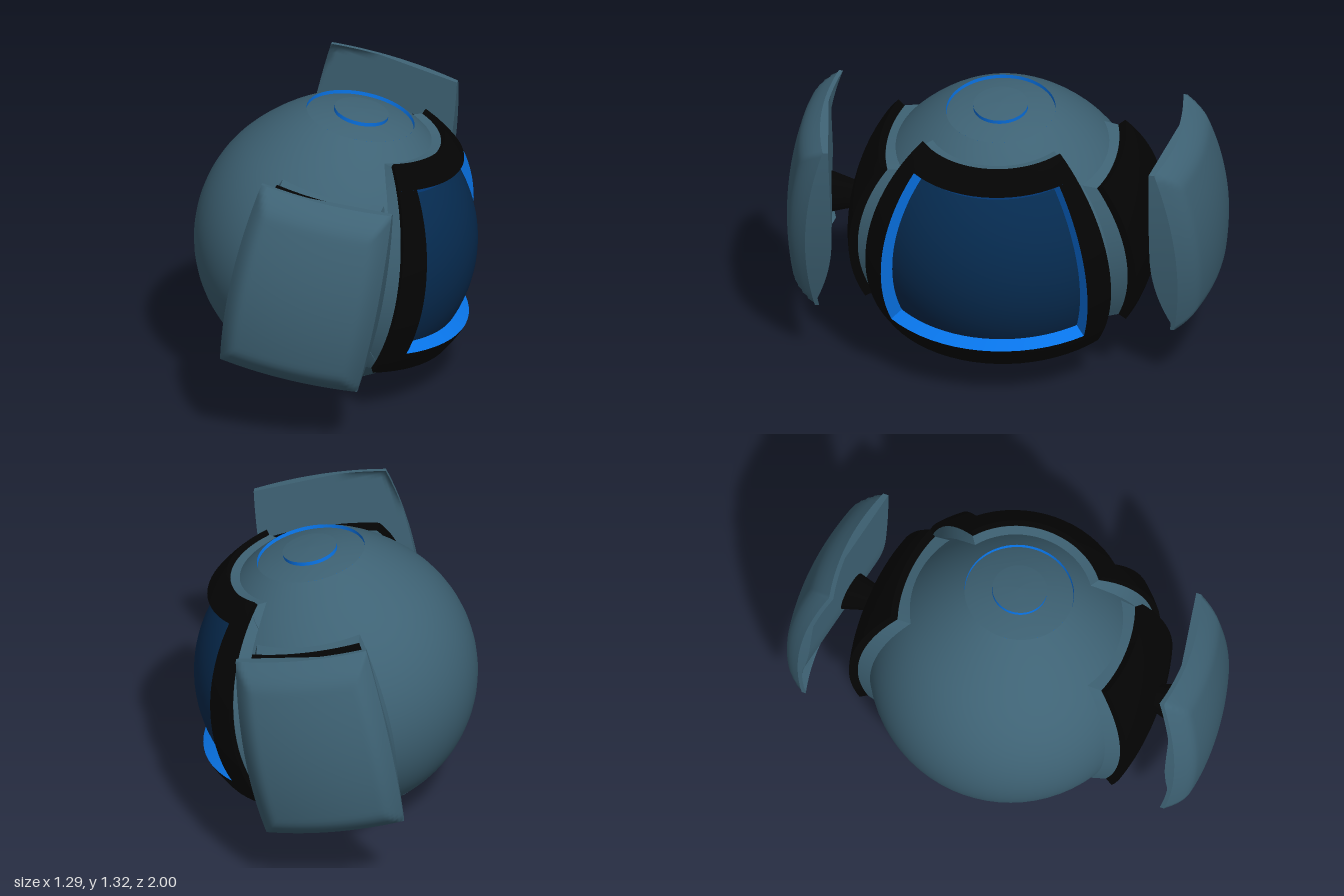
import * as THREE from 'three';

const mat = (name, color, side = THREE.FrontSide) => {
  const m = new THREE.MeshStandardMaterial({ color, side });
  m.name = name;
  return m;
};
const D = Math.PI / 180;

export function createModel() {
  const shell = mat('slate blue shell', 0x3e6274, THREE.DoubleSide);
  const black = mat('black trim', 0x040404);
  const blue = mat('bright blue', 0x0874e8, THREE.DoubleSide);
  const navy = mat('navy screen', 0x062b50);

  const root = new THREE.Group();
  root.name = 'sphereRobot';
  const tilted = new THREE.Group();
  tilted.name = 'tiltedBody';
  tilted.position.y = 0.66;
  tilted.rotation.z = -10.7 * D;
  root.add(tilted);

  const add = (name, geo, material, parent = tilted) => {
    const m = new THREE.Mesh(geo, material);
    m.name = name;
    parent.add(m);
    return m;
  };
  const lathe = (name, pts, material) =>
    add(name, new THREE.LatheGeometry(pts.map(p => new THREE.Vector2(...p)), 64), material);

  // Block wrapped on a sphere, facing +z; flare widens its base (degrees),
  // flat lessens its sideways curvature
  const block = (lat0, lat1, lon0, lon1, r0, r1, flare = 0, flat = 0) => {
    const g = new THREE.BoxGeometry(1, 1, 1, 20, 20, 1);
    const p = g.attributes.position;
    for (let i = 0; i < p.count; i++) {
      const u = p.getX(i), v = p.getY(i), w = p.getZ(i) + 0.5;
      const f = 2 * flare * (1 - w);
      const lon = ((lon0 + lon1) / 2 + u * (lon1 - lon0 + f)) * D;
      const lat = ((lat0 + lat1) / 2 + v * (lat1 - lat0 + f)) * D;
      const r = r0 + (r1 - r0) * w;
      const x = r * Math.cos(lat) * Math.sin(lon);
      p.setXYZ(i, x, r * Math.sin(lat), r * Math.cos(lat) * Math.cos(lon) + flat * w * x * x);
    }
    g.computeVertexNormals();
    return g;
  };

  // Four bars around an opening; inner walls take their own material
  const frame = (name, a0, a1, lon, w, r0, r1, outer, inner, flare, parent) => {
    const mats = k => Array.from({ length: 6 }, (_, i) => (i === k ? inner : outer));
    add(name + 'Top', block(a1 - w, a1, -lon, lon, r0, r1, flare), mats(3), parent);
    add(name + 'Bottom', block(a0, a0 + w, -lon, lon, r0, r1, flare), mats(2), parent);
    add(name + 'Right', block(a0 + w, a1 - w, -lon, -lon + w, r0, r1, flare), mats(0), parent);
    add(name + 'Left', block(a0 + w, a1 - w, lon - w, lon, r0, r1, flare), mats(1), parent);
  };

  // Round body, cut flat below and swelling slightly to the top rim
  const arc = [];
  for (let i = 0; i <= 48; i++) {
    const a = (-57.3 + i * (68.2 + 57.3) / 48) * D;
    const r = 0.645 + 0.028 * Math.max(0, (a / D - 40) / 28.2) ** 2;
    arc.push([r * Math.cos(a), r * Math.sin(a)]);
  }
  lathe('bodySphere', arc, shell);

  // Top recess with domed floor and button
  lathe('topRecessWall', [[0.25, 0.625], [0.248, 0.608]], blue);
  lathe('topRecessFloor', [[0.248, 0.608], [0.19, 0.626], [0.12, 0.638]], shell);
  lathe('topButtonWall', [[0.125, 0.636], [0.125, 0.655]], blue);
  lathe('topButton', [[0.125, 0.655], [0.07, 0.661], [0, 0.663]], shell);

  // Bottom recess and foot
  lathe('bottomRim', [[0.33, -0.543], [0.349, -0.543]], shell);
  lathe('bottomRecessWall', [[0.33, -0.543], [0.33, -0.515]], blue);
  lathe('bottomRecessFloor', [[0, -0.515], [0.33, -0.515]], shell);
  lathe('footWall', [[0.247, -0.604], [0.205, -0.515]], blue);
  lathe('foot', [[0, -0.656], [0.1, -0.65], [0.18, -0.632], [0.247, -0.604]], shell);

  // Screen and its frame, facing +x
  const face = new THREE.Group();
  face.name = 'screenAssembly';
  face.rotation.y = Math.PI / 2;
  tilted.add(face);
  add('screen', block(-23, 48, -44, 44, 0.6, 0.647), navy, face);
  frame('screenFrame', -32, 56, 53, 10.8, 0.62, 0.712, black, blue, 0, face);
  frame('screenSkirt', -32.2, 56.2, 53.2, 5, 0.635, 0.685, shell, shell, 5, face);

  // Padded side panel: domed outside with a soft rim, flatter inside
  const panel = s => {
    const g = new THREE.BoxGeometry(2, 2, 1, 40, 40, 1);
    const p = g.attributes.position;
    for (let i = 0; i < p.count; i++) {
      const u = p.getX(i), v = p.getY(i), outer = p.getZ(i) > 0;
      const y = 0.115 + v * 0.437;
      const half = 0.34 - 0.14 * (y - 0.05) ** 2;
      const x = s * 0.04 + u * half;
      const X = s * x;
      const rim = c => Math.max(0, (Math.abs(c) - 0.75) / 0.25) ** 2;
      const front = 0.998 - 0.35 * y * y - 0.45 * X * X - 0.03 * X - 0.065 * Math.max(rim(u), rim(v));
      const back = 0.8 - 0.18 * X + 0.55 * Math.min(0, y - 0.1) ** 2;
      p.setXYZ(i, x, y, outer ? front : Math.min(back, front - 0.02));
    }
    g.computeVertexNormals();
    return g;
  };

  // Side assemblies on +z and -z
  for (const s of [1, -1]) {
    const side = new THREE.Group();
    side.name = s > 0 ? 'frontSideAssembly' : 'backSideAssembly';
    side.rotation.y = s > 0 ? 0 : Math.PI;
    tilted.add(side);
    const lons = s > 0 ? [-25, 28] : [-28, 25];
    add('sidePlate', block(-24, 38, ...lons, 0.58, 0.708, 0, 0.35), black, side);
    add('sideSkirt', block(-24.2, 38.2, lons[0] - 0.2, lons[1] + 0.2, 0.635, 0.67, 4, 0.35), shell, side);
    const post = add('panelMount', new THREE.CylinderGeometry(0.1, 0.06, 0.14, 24), black, side);
    post.position.set(s * 0.03, 0.08, 0.75);
    post.rotation.x = Math.PI / 2;
    const shield = add('sidePanel', panel(s), shell, side);
    if (s < 0) shield.position.x = 0.05;
  }
  return root;
}
